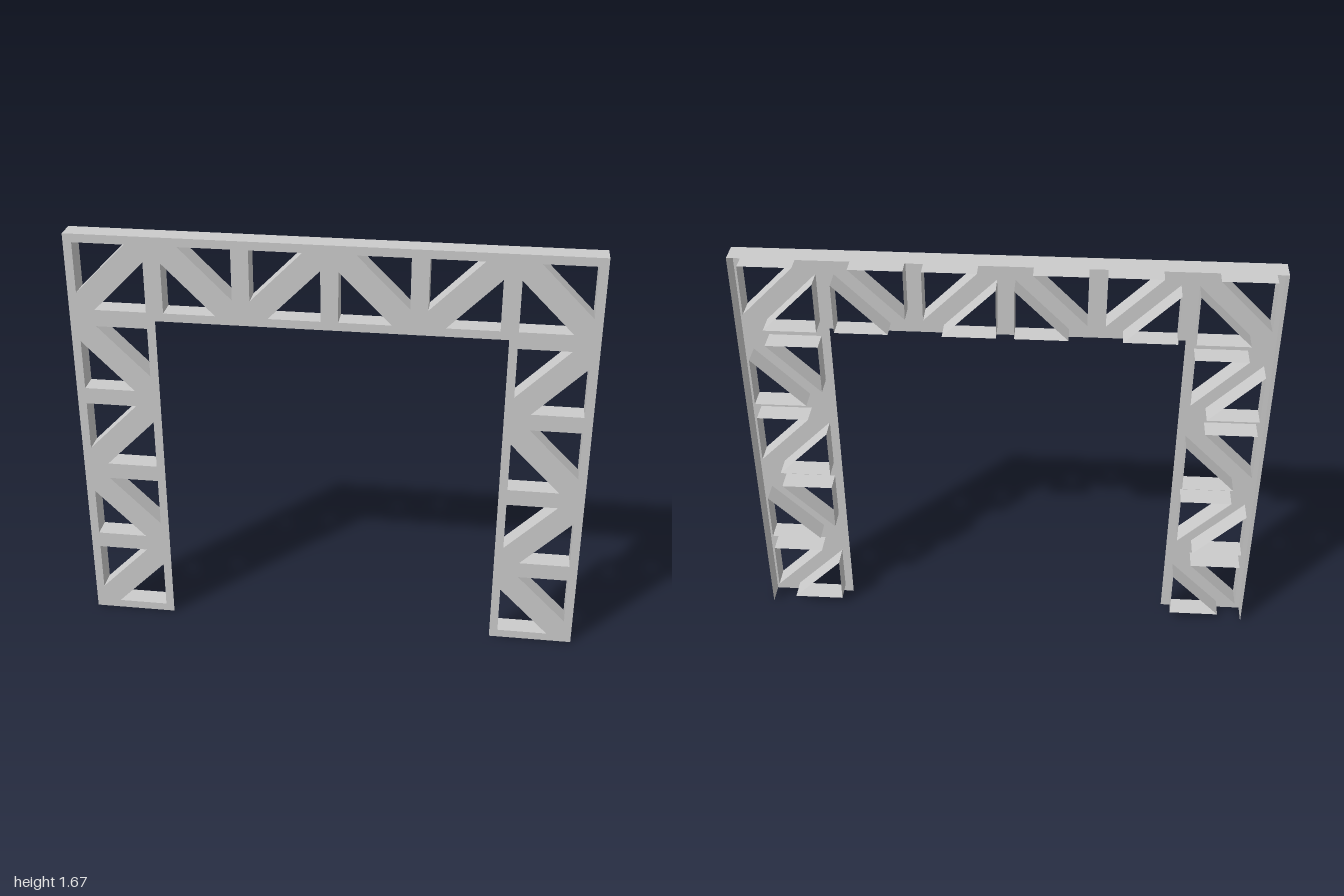
import * as THREE from 'three';
import { mergeGeometries } from 'three/addons/utils/BufferGeometryUtils.js';

const PITCH = 1 / 3;      // size of one square truss panel
const HALF = 0.1333;      // half of the opening inside a panel's frame
const LEG = 0.2;          // short sides of each triangular opening
const DEPTH = 0.042;      // half thickness of the truss
const TOP = 5 * PITCH;
const INNER = 2 * PITCH;

const material = new THREE.MeshStandardMaterial({
  color: 0xcccccc, flatShading: true, side: THREE.DoubleSide,
});

// Triangular opening in the corner (sx, sy) of a panel
function cornerTriangle(col, row, sx, sy) {
  const x = -1 + (col + 0.5) * PITCH + sx * HALF;
  const y = (row + 0.5) * PITCH + sy * HALF;
  return [
    new THREE.Vector2(x, y),
    new THREE.Vector2(x - sx * LEG, y),
    new THREE.Vector2(x, y - sy * LEG),
  ];
}

// Thin sheet running front to back along the segment a-b
function wall(a, b) {
  const geometry = new THREE.PlaneGeometry(a.distanceTo(b), DEPTH * 2);
  geometry.rotateX(Math.PI / 2);
  geometry.rotateZ(Math.atan2(b.y - a.y, b.x - a.x));
  geometry.translate((a.x + b.x) / 2, (a.y + b.y) / 2, 0);
  return geometry;
}

function addMesh(group, name, geometry) {
  const mesh = new THREE.Mesh(geometry, material);
  mesh.name = name;
  group.add(mesh);
  return mesh;
}

export function createModel() {
  const group = new THREE.Group();
  group.name = 'trussArch';

  // Panels: up both legs, then across the beam
  const panels = [];
  for (let row = 0; row < 4; row++) panels.push([0, row], [5, row]);
  for (let col = 0; col < 6; col++) panels.push([col, 4]);

  // Each diagonal leaves two triangles; its slope alternates
  const openings = [];
  for (const [col, row] of panels) {
    const s = (col + row) % 2 === 0 ? 1 : -1;
    openings.push(cornerTriangle(col, row, s, -1), cornerTriangle(col, row, -s, 1));
  }

  // Front plate with its openings
  const outline = [
    [-1, 0], [-INNER, 0], [-INNER, 4 * PITCH], [INNER, 4 * PITCH],
    [INNER, 0], [1, 0], [1, TOP], [-1, TOP],
  ].map(([x, y]) => new THREE.Vector2(x, y));
  const shape = new THREE.Shape(outline);
  shape.holes = openings.map((points) => new THREE.Path(points));
  addMesh(group, 'frontPlate', new THREE.ShapeGeometry(shape)).position.z = DEPTH;

  // Flanges lining every opening
  const flanges = openings.flatMap((p) => p.map((a, i) => wall(a, p[(i + 1) % 3])));
  addMesh(group, 'openingFlanges', mergeGeometries(flanges));

  // Outer skin: top and both outer sides; underside and back stay open
  addMesh(group, 'leftOuterWall', wall(outline[5], outline[6]));
  addMesh(group, 'topWall', wall(outline[6], outline[7]));
  addMesh(group, 'rightOuterWall', wall(outline[7], outline[0]));

  return group;
}
